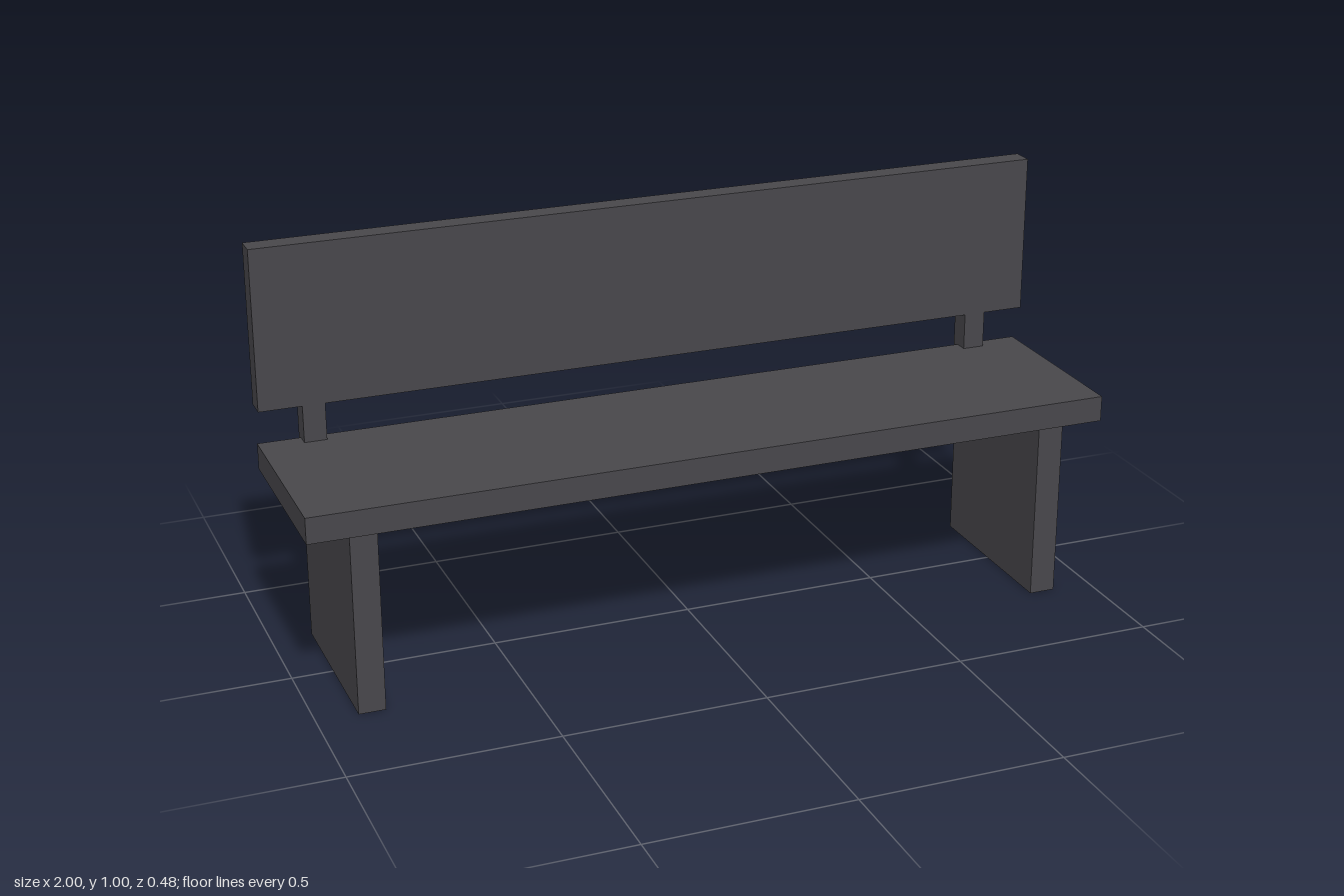
import * as THREE from 'three';

export function createModel() {
  const bench = new THREE.Group();
  bench.name = 'bench';
  const charcoal = new THREE.MeshStandardMaterial({ color: 0x48474b });
  charcoal.name = 'charcoal';

  // Box given by its minimum and maximum corners
  const slab = (name, [x0, y0, z0], [x1, y1, z1]) => {
    const mesh = new THREE.Mesh(new THREE.BoxGeometry(x1 - x0, y1 - y0, z1 - z0), charcoal);
    mesh.name = name;
    mesh.position.set((x0 + x1) / 2, (y0 + y1) / 2, (z0 + z1) / 2);
    bench.add(mesh);
    return mesh;
  };

  // Seat and backrest boards
  slab('seat', [-1, 0.447, -0.222], [1, 0.511, 0.242]);
  slab('backrest', [-1, 0.603, -0.242], [1, 1, -0.187]);

  // Panel legs and the short posts carrying the backrest, on both sides
  for (const [side, s] of [['left', 1], ['right', -1]]) {
    slab(side + 'Leg', [0.835, 0, -0.212], [0.9, 0.447, 0.231]).position.x *= s;
    slab(side + 'BackPost', [0.84, 0.447, -0.242], [0.895, 0.603, -0.187]).position.x *= s;
  }

  return bench;
}
